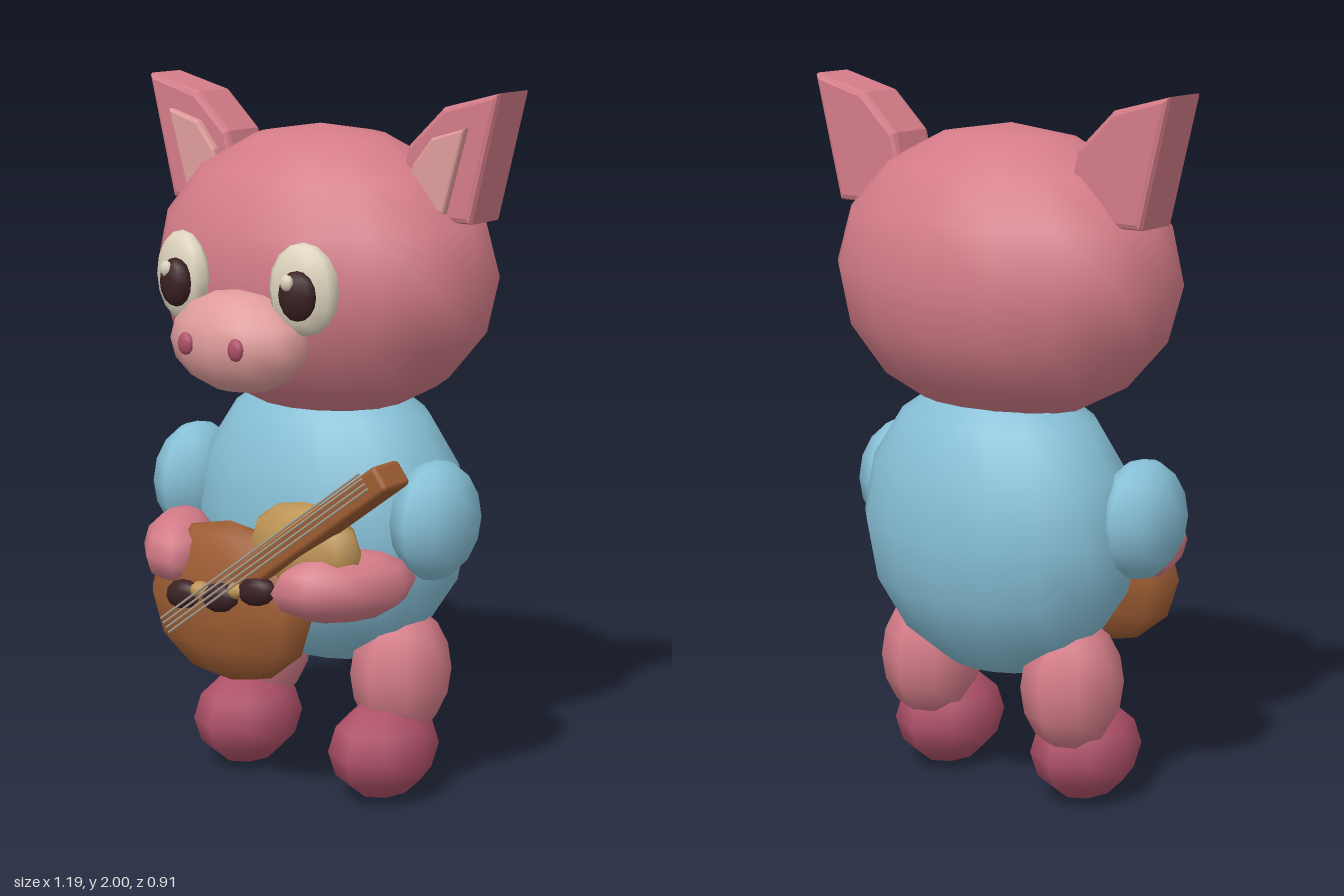
import * as THREE from 'three';
import { RoundedBoxGeometry } from 'three/addons/geometries/RoundedBoxGeometry.js';

const paint = (name, color) => {
  const m = new THREE.MeshStandardMaterial({ color });
  m.name = name;
  return m;
};

export function createModel() {
  const model = new THREE.Group();
  model.name = 'pigMusician';

  const pink = paint('skin pink', 0xd47c88);
  const palePink = paint('pale pink', 0xdf9c9b);
  const rose = paint('deep rose', 0xae5068);
  const blue = paint('shirt blue', 0x86bfd6);
  const cream = paint('eye cream', 0xddd3bd);
  const dark = paint('dark brown', 0x3a2023);
  const wood = paint('wood brown', 0x9c5c32);
  const tan = paint('tan wood', 0xbd9354);
  const steel = paint('string grey', 0xa89f90);

  const add = (name, geometry, material, pos, rot = [0, 0, 0], parent = model) => {
    const mesh = new THREE.Mesh(geometry, material);
    mesh.name = name;
    mesh.position.set(...pos);
    mesh.rotation.set(...rot);
    parent.add(mesh);
    return mesh;
  };
  // Low-sided ellipsoid with smooth normals
  const blob = (name, material, pos, radii, segs = [8, 6], rot, parent) =>
    add(name, new THREE.SphereGeometry(1, ...segs).scale(...radii), material, pos, rot, parent);
  // Bevelled plate cut from an outline, spanning z0 to z1
  const plate = (name, material, points, z0, z1, bevel) => {
    const shape = new THREE.Shape(points.map(p => new THREE.Vector2(...p)));
    const geometry = new THREE.ExtrudeGeometry(shape, {
      depth: z1 - z0 - 2 * bevel, bevelThickness: bevel, bevelSize: bevel,
      bevelOffset: -bevel, bevelSegments: 2,
    });
    return add(name, geometry, material, [0, 0, z0 + bevel]);
  };

  // Head and torso
  blob('head', pink, [0, 1.48, -0.07], [0.525, 0.41, 0.385], [16, 8], [0.05, 0, 0]);
  blob('shirt', blue, [0, 0.78, -0.105], [0.425, 0.435, 0.308], [16, 8]);
  blob('snout', palePink, [0, 1.333, 0.31], [0.215, 0.14, 0.137], [12, 8]);

  const earOutline = [[0.595, 2], [0.42, 1.955], [0.31, 1.85], [0.29, 1.77], [0.42, 1.65], [0.51, 1.65]];
  const innerOutline = [[0.505, 1.905], [0.4, 1.875], [0.34, 1.80], [0.325, 1.73], [0.36, 1.68], [0.44, 1.675]];

  // Paired parts: s is +1 for the left side, -1 for the right
  for (const s of [1, -1]) {
    const side = s > 0 ? 'left' : 'right';
    const flip = pts => pts.map(([x, y]) => [s * x, y]);
    plate(side + 'Ear', pink, flip(earOutline), -0.178, -0.022, 0.016);
    plate(side + 'InnerEar', palePink, flip(innerOutline), -0.05, 0, 0.008);

    // Eyes glance slightly toward the left
    blob(side + 'Eye', cream, [s * 0.206, 1.49, 0.297], [0.102, 0.125, 0.046], [10, 8], [0, s * 0.22, 0]);
    blob(side + 'Pupil', dark, [s > 0 ? 0.22 : -0.187, 1.48, s > 0 ? 0.345 : 0.352],
      [0.055, 0.067, 0.034], [8, 8], [0, s * 0.2, 0]);
    blob(side + 'EyeGlint', cream, [s > 0 ? 0.207 : -0.202, 1.517, 0.372], [0.02, 0.022, 0.016]);
    blob(side + 'Nostril', rose, [s * 0.085, 1.335, 0.435], [0.026, 0.031, 0.016]);

    // Arms wrap forward around the instrument
    blob(side + 'Sleeve', blue, [s * 0.42, 0.835, -0.015], [0.11, 0.168, 0.155], [8, 8]);
    blob(side + 'Forearm', pink, [s * 0.287, s > 0 ? 0.68 : 0.705, 0.225],
      [0.105, 0.1, 0.212], [8, 6], [0, -s * 0.55, 0]);

    blob(side + 'Leg', pink, [s * 0.25, 0.35, -0.1], [0.14, 0.195, 0.155], [8, 8]);
    blob(side + 'Foot', rose, [s * 0.245, 0.142, -0.025], [0.145, 0.142, 0.18], [8, 6]);
  }

  // Guitar: rounded body, upper bout, neck and strings
  const guitar = new THREE.Group();
  guitar.name = 'guitar';
  model.add(guitar);
  blob('guitarBody', wood, [-0.075, 0.585, 0.265], [0.285, 0.23, 0.105], [10, 6], undefined, guitar);
  blob('upperBout', tan, [0.17, 0.77, 0.245], [0.185, 0.13, 0.09], [10, 6], undefined, guitar);

  // Beads across the guitar face
  [[-0.165, 0.61], [-0.035, 0.622], [0.09, 0.662]].forEach(([x, y], i) =>
    blob('darkBead' + (i + 1), dark, [x, y, 0.357], [0.064, 0.042, 0.036], [8, 6], [0, 0, 0.2], guitar));
  [[-0.1, 0.635], [0.03, 0.655]].forEach(([x, y], i) =>
    blob('tanBead' + (i + 1), tan, [x, y, 0.365], [0.03, 0.024, 0.03], [8, 6], undefined, guitar));

  const tilt = 0.645;
  add('neck', new RoundedBoxGeometry(0.61, 0.075, 0.115, 2, 0.014), wood,
    [0.262, 0.855, 0.313], [0, 0, tilt], guitar);
  for (let i = 0; i < 4; i++) {
    const off = (i - 1.5) * 0.015;
    add('string' + (i + 1), new THREE.CylinderGeometry(0.0035, 0.0035, 0.845, 6), steel,
      [0.137 - off * Math.sin(tilt), 0.777 + off * Math.cos(tilt), 0.4],
      [0, 0, tilt - Math.PI / 2], guitar);
  }
  return model;
}
